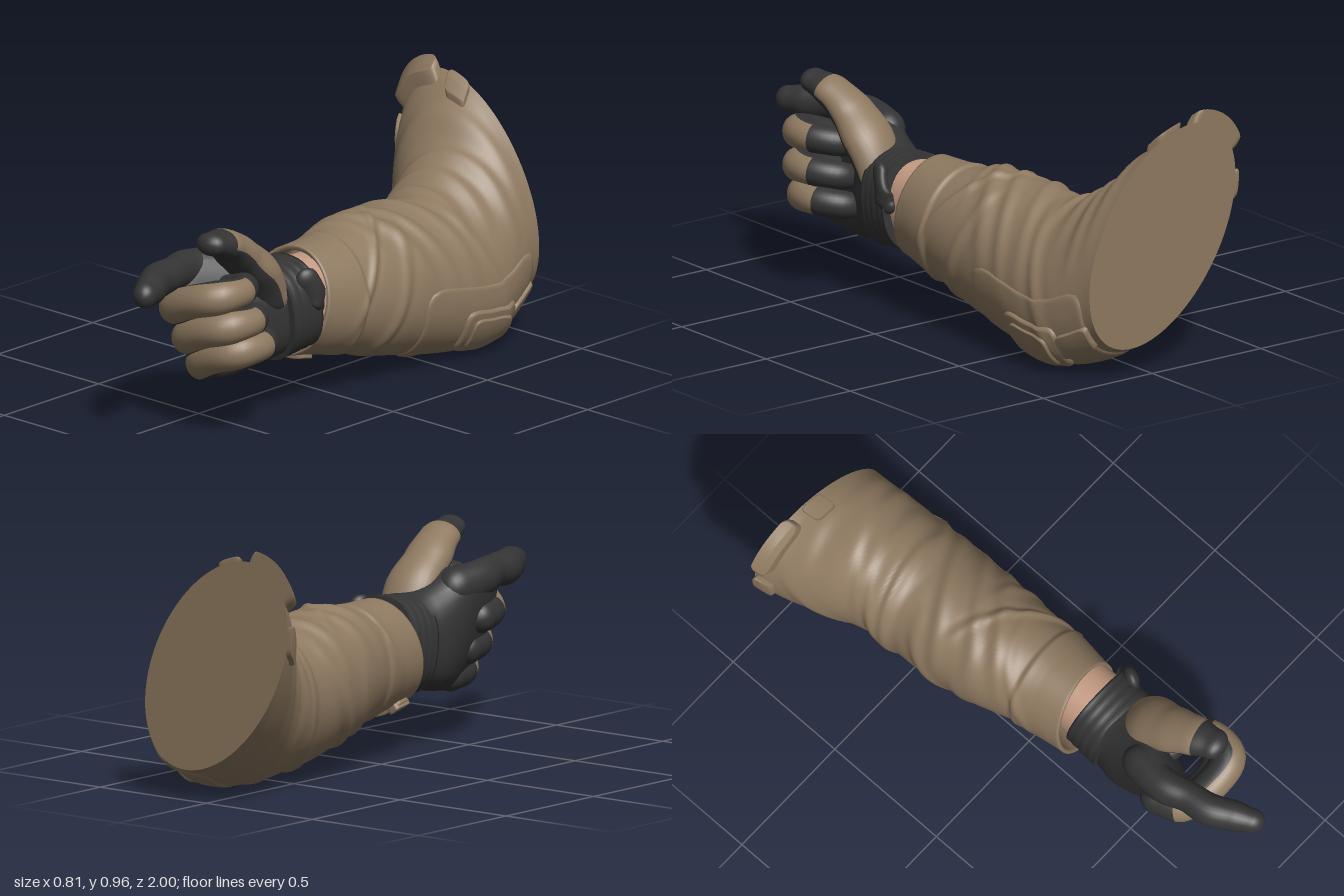
import * as THREE from 'three';

const mat = (name, color) => Object.assign(new THREE.MeshStandardMaterial({ color }), { name });
const V = (x, y, z) => new THREE.Vector3(x, y, z);
const range = (n, f) => Array.from({ length: n }, (_, i) => f(i));
const { smoothstep: smooth, lerp } = THREE.MathUtils;
const TAU = Math.PI * 2;

// Skin a list of closed rings; pick(i, j) chooses the material slot of each quad.
function loft(rings, pick = () => 0) {
  const n = rings[0].length, lists = [[], []];
  for (let i = 0; i < rings.length - 1; i++) {
    for (let j = 0; j < n; j++) {
      const k = (j + 1) % n, a = i * n + j, b = i * n + k, c = a + n, d = b + n;
      lists[pick(i, j)].push(a, b, c, b, d, c);
    }
  }
  const g = new THREE.BufferGeometry();
  g.setAttribute('position', new THREE.Float32BufferAttribute(rings.flat().flatMap(p => [p.x, p.y, p.z]), 3));
  g.setIndex([...lists[0], ...lists[1]]);
  g.addGroup(0, lists[0].length, 0);
  g.addGroup(lists[0].length, lists[1].length, 1);
  g.computeVertexNormals();
  return g;
}

// A ring collapsed to its middle, used to close a loft
function tip(ring) {
  const m = ring.reduce((s, p) => s.add(p), V(0, 0, 0)).divideScalar(ring.length);
  return ring.map(() => m);
}

// Piecewise interpolation of rows keyed on their first entry, lightly smoothed.
function lookup(rows, z) {
  const s = Math.min(Math.max(z, rows[0][0]), rows[rows.length - 1][0]);
  let i = 0;
  while (i < rows.length - 2 && s > rows[i + 1][0]) i++;
  const f = (s - rows[i][0]) / (rows[i + 1][0] - rows[i][0]);
  return rows[i].map((v, k) => lerp(v, rows[i + 1][k], f));
}
function section(rows, z, w = 0.035) {
  const [a, b, c] = [lookup(rows, z - w), lookup(rows, z), lookup(rows, z + w)];
  return b.map((v, k) => (a[k] + v + c[k]) / 3);
}

// Sleeve sections: z, x min, x max, y min, y max, lean
const SLEEVE = [
  [-1, -0.39, 0.285, 0.125, 0.935, -0.45], [-0.9, -0.33, 0.31, 0.06, 0.82, -0.4],
  [-0.8, -0.25, 0.335, 0.025, 0.69, -0.35], [-0.7, -0.18, 0.34, 0.01, 0.61, -0.25],
  [-0.6, -0.15, 0.345, 0.015, 0.58, -0.15], [-0.4, -0.15, 0.335, 0.045, 0.6, -0.1],
  [-0.2, -0.125, 0.33, 0.09, 0.605, -0.1], [0, -0.055, 0.315, 0.165, 0.575, -0.05],
  [0.16, -0.03, 0.29, 0.2, 0.575, 0],
];
// Cloth folds: z, slant, facing angle, height, width
const FOLDS = [
  [-0.89, 0.06, 1.9, 0.018, 0.035], [-0.79, 0.1, 1.8, 0.024, 0.03], [-0.7, 0.08, 2.2, 0.026, 0.035],
  [-0.62, 0.05, 2.4, 0.022, 0.028], [-0.5, 0.14, 1.6, 0.014, 0.035], [-0.38, 0.16, 1.4, 0.014, 0.035],
  [-0.26, 0.16, 1.5, 0.02, 0.045], [-0.18, -0.18, 0.9, 0.014, 0.025], [-0.1, 0.12, 2.2, 0.01, 0.025],
  [-0.35, 0.15, 3.6, 0.014, 0.035], [-0.55, 0.12, 3.9, 0.014, 0.035], [-0.8, 0.16, 3.6, 0.014, 0.04],
  [-0.15, 0.12, 4.4, 0.01, 0.03], [-0.72, 0.12, 0.4, 0.012, 0.03], [-0.25, -0.1, 0, 0.01, 0.03],
];

function sleevePoint(z, t, off = 0) {
  const [, x0, x1, y0, y1, lean] = section(SLEEVE, z);
  let r = off + 0.012 * smooth(z, -0.05, -0.03);
  for (const [z0, k, tc, amp, w] of FOLDS) {
    const d = (z - z0 - k * Math.sin(t - tc)) / w;
    r += amp * Math.max(0, Math.cos(t - tc)) * (0.6 + d) * Math.exp(-d * d);
  }
  const tilt = smooth(z, -0.25, 0.16);
  return V(
    (x0 + x1) / 2 + ((x1 - x0) / 2 + r) * Math.cos(t),
    (y0 + y1) / 2 + ((y1 - y0) / 2 + r) * Math.sin(t + lean),
    z - tilt * (0.04 * Math.sin(t) + 0.025 * Math.cos(t)));
}

// Raised rounded patch lying on the sleeve, centred at (t, z)
function patch(t, z, ht, hz, height, power = 4) {
  const radii = [[1, -0.012], [1, height * 0.6], [0.96, height],
    ...range(12, i => [0.92 * (1 - i / 11), height])];
  return loft(radii.map(([r, h]) => range(64, j => {
    const a = j / 64 * TAU, c = Math.cos(a), s = Math.sin(a);
    const q = r / Math.pow(Math.abs(c) ** power + Math.abs(s) ** power, 1 / power);
    return sleevePoint(Math.max(-1, z + hz * q * s), t + ht * q * c, h);
  })));
}

// Rounded limb through points [x, y, z, r]; pick(u, cos, sin) returns a material slot
function digit(pts, pick, flat = 1) {
  const N = 36, M = 28, curve = new THREE.CatmullRomCurve3(pts.map(p => V(...p)));
  const stations = [];
  const add = (u, a) => {
    const f = u * (pts.length - 1), i = Math.min(Math.floor(f), pts.length - 2);
    const r = lerp(pts[i][3], pts[i + 1][3], smooth(f - i, 0, 1));
    const T = curve.getTangent(u);
    stations.push({ u, r: r * Math.cos(a), T, c: curve.getPoint(u).addScaledVector(T, r * Math.sin(a)) });
  };
  for (let k = 6; k > 0; k--) add(0, -k / 6 * Math.PI / 2);
  for (let k = 0; k <= N; k++) add(k / N, 0);
  for (let k = 1; k <= 6; k++) add(1, k / 6 * Math.PI / 2);
  const rings = stations.map(({ r, T, c }) => {
    const S = V(0, 1, 0).cross(T).normalize(), U = T.clone().cross(S);
    return range(M, j => c.clone().addScaledVector(S, r * flat * Math.cos(j / M * TAU))
      .addScaledVector(U, r * Math.sin(j / M * TAU)));
  });
  return loft(rings, (i, j) => {
    const a = (j + 0.5) / M * TAU;
    return pick(stations[i].u, Math.cos(a), Math.sin(a));
  });
}

// Rounded-box style body from rows of z, x min, x max, y min, y max; shear slants the knuckle end
function body(rows, { n = 40, power = 2.6, ripple = 0, shear = 0 } = {}) {
  const z0 = rows[0][0], z1 = rows[rows.length - 1][0];
  const rings = range(n + 1, i => {
    const z = lerp(z0, z1, i / n), [, x0, x1, y0, y1] = section(rows, z, 0.02);
    const lean = shear * smooth(z, 0.36, 0.6);
    return range(40, j => {
      const a = j / 40 * TAU, c = Math.cos(a), s = Math.sin(a);
      const q = (1 + ripple * Math.cos(i * Math.PI / 2)) / Math.pow(Math.abs(c) ** power + Math.abs(s) ** power, 1 / power);
      const y = (y0 + y1) / 2 + (y1 - y0) / 2 * q * s;
      return V((x0 + x1) / 2 + (x1 - x0) / 2 * q * c + lean * (0.55 - y), y, z);
    });
  });
  return loft([tip(rings[0]), ...rings, tip(rings[n])]);
}

export function createModel() {
  const model = new THREE.Group();
  model.name = 'pointingArm';
  const tan = mat('tanFabric', 0x8e7960), dark = mat('darkGlove', 0x343434), skin = mat('skin', 0xc49a82);
  const add = (name, geo, m) => {
    const mesh = new THREE.Mesh(geo, m);
    mesh.name = name;
    model.add(mesh);
    return mesh;
  };

  // Sleeve with a turned-in, closed cuff and a flat shoulder end
  const ring = (z, off = 0) => range(96, j => sleevePoint(z, j / 96 * TAU, off));
  const outer = range(141, i => ring(-1 + 1.16 * i / 140));
  const inner = [ring(0.163, -0.008), ring(0.155, -0.02), ring(0.08, -0.025), ring(0.03, -0.03)];
  add('sleeve', loft([...outer, ...inner, tip(inner[3])]), tan);
  add('shoulderCap', loft([tip(outer[0]), outer[0]]), tan);

  // Sewn-on sleeve pieces: angle, z, half angle, half length, height, corner power
  const pieces = {
    elbowPanel: [-0.62, -0.66, 0.78, 0.3, 0.005, 7],
    elbowPad: [-0.55, -0.7, 0.4, 0.14, 0.016, 5],
    elbowPadCentre: [-0.55, -0.7, 0.3, 0.105, 0.023, 5],
    elbowStrap: [-0.5, -0.9, 0.2, 0.07, 0.016, 6],
    shoulderFlap: [2.45, -0.975, 0.42, 0.032, 0.045, 4],
    topTab: [1.72, -0.96, 0.15, 0.032, 0.026, 5],
    sideTab: [3.24, -0.965, 0.15, 0.032, 0.022, 5],
    cuffStrap: [4.5, 0.09, 0.5, 0.035, 0.014, 6],
    cuffStrapEnd: [4.15, 0.09, 0.12, 0.04, 0.024, 5],
  };
  for (const [name, p] of Object.entries(pieces)) add(name, patch(...p), tan);

  // Wrist and glove body
  add('wrist', body([[0, 0.02, 0.29, 0.24, 0.555], [0.24, 0.02, 0.29, 0.24, 0.555]], { n: 8, power: 2.2 }), skin);
  add('gloveHand', body([
    [0.22, 0.02, 0.3, 0.24, 0.56], [0.33, 0.01, 0.29, 0.22, 0.57], [0.42, -0.01, 0.26, 0.2, 0.61],
    [0.5, -0.02, 0.2, 0.19, 0.655], [0.59, -0.015, 0.15, 0.2, 0.665], [0.65, 0, 0.12, 0.24, 0.64],
    [0.69, 0.02, 0.1, 0.32, 0.58],
  ], { shear: 0.25 }), dark);
  const band = add('gloveWristband', body(
    [[0.185, 0.005, 0.32, 0.22, 0.575], [0.33, 0, 0.31, 0.215, 0.58]], { n: 16, power: 2.4, ripple: 0.008 }), dark);
  band.rotation.x = 0.1;
  band.position.set(0, 0.025, -0.042);
  add('wristStrap', digit([
    [0.3, 0.41, 0.18, 0.03], [0.308, 0.45, 0.2, 0.042], [0.292, 0.52, 0.235, 0.045],
  ], () => 0, 0.6), dark);

  // Straight index finger with a blunt, narrow tip
  add('indexFinger', digit([
    [0.06, 0.58, 0.5, 0.075], [0.045, 0.6, 0.62, 0.07], [0.07, 0.608, 0.72, 0.062],
    [0.085, 0.608, 0.81, 0.066], [0.125, 0.606, 0.885, 0.062], [0.158, 0.604, 0.95, 0.05],
  ], () => 0, 0.92), dark);

  // Three curled fingers, tan on the outer side; each shifts at the knuckle, at the bend, in y and in z
  const curl = [[0.03, 0.46, 0.6], [0.07, 0.475, 0.69], [0.19, 0.53, 0.73], [0.3, 0.565, 0.715],
    [0.325, 0.57, 0.62], [0.27, 0.56, 0.54], [0.19, 0.54, 0.53]];
  const thick = [0.06, 0.064, 0.062, 0.064, 0.055, 0.052, 0.045];
  const shifts = {
    middleFinger: [0, -0.008, 0, 0], ringFinger: [0.04, 0.015, -0.115, -0.03], littleFinger: [0.085, 0.025, -0.215, -0.07],
  };
  for (const [name, [knuckle, bend, dy, dz]] of Object.entries(shifts)) {
    const pts = curl.map(([x, y, z], i) =>
      [x + lerp(knuckle, bend, Math.min(1, i / 3)), y + dy, z + dz, thick[i]]);
    add(name, digit(pts, (u, c) => (u > 0.13 && u < 0.69 && c < -0.2 ? 0 : 1)), [tan, dark]);
  }

  // Raised broad thumb, tan on the back with a dark tip and palm side
  add('thumb', digit([
    [0.19, 0.47, 0.36, 0.075], [0.2, 0.58, 0.42, 0.078], [0.205, 0.665, 0.51, 0.068],
    [0.225, 0.727, 0.6, 0.058], [0.245, 0.755, 0.69, 0.044],
  ], (u, c, s) => (u < 0.82 && s > -0.15 ? 0 : 1), 1.35), [tan, dark]);

  return model;
}
